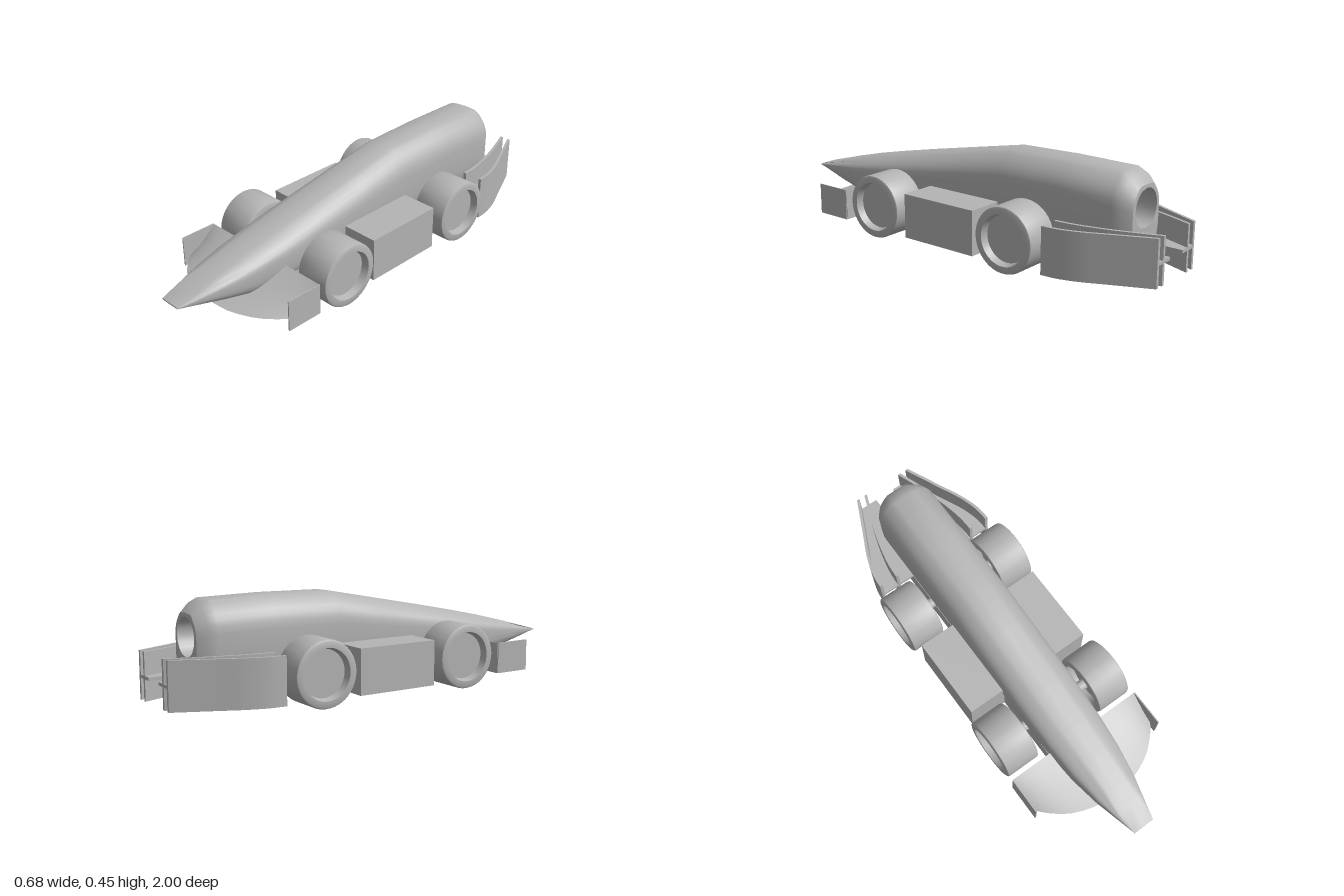
import * as THREE from 'three';
import { toCreasedNormals } from 'three/addons/utils/BufferGeometryUtils.js';

const grey = new THREE.MeshStandardMaterial({ color: 0xb4b4b4, side: THREE.DoubleSide });
grey.name = 'plain grey';

function add(parent, name, geometry, crease = 0.55) {
  const mesh = new THREE.Mesh(toCreasedNormals(geometry, crease), grey);
  mesh.name = name;
  parent.add(mesh);
  return mesh;
}

// Skin over closed rings of equal length, with fan caps at both ends
function loft(rings) {
  const n = rings[0].length, pos = [], idx = [];
  rings.forEach(r => r.forEach(p => pos.push(...p)));
  for (let i = 0; i < rings.length - 1; i++) {
    for (let j = 0; j < n; j++) {
      const k = (j + 1) % n, a = i * n + j, b = i * n + k;
      idx.push(a, a + n, b, b, a + n, b + n);
    }
  }
  const last = (rings.length - 1) * n;
  for (let j = 1; j < n - 1; j++) {
    idx.push(0, j, j + 1, last, last + j + 1, last + j);
  }
  const g = new THREE.BufferGeometry();
  g.setAttribute('position', new THREE.Float32BufferAttribute(pos, 3));
  g.setIndex(idx);
  return g;
}

// Half outline of the body: [share of width, share of height], bottom to top
const outline = [[0.64, 0], [0.86, 0.085], [0.95, 0.19], [1, 0.32], [1, 0.5], [1, 0.63],
  [0.98, 0.72], [0.92, 0.79], [0.83, 0.85], [0.72, 0.9], [0.56, 0.955], [0.4, 0.99]];

function bodyRing([z, top, bottom, w, flat]) {
  const half = outline.map(([u, v]) => {
    const x = v > 0.95 ? Math.max(u * w, flat * (v > 0.98 ? 1 : 1.35)) : u * w;
    return [Math.min(x, w), bottom + v * (top - bottom), z];
  });
  const mirrored = half.map(([x, y, q]) => [-x, y, q]).reverse();
  return [...half, [0, top, z], ...mirrored, [0, bottom, z]];
}

function makeBody() {
  // z, top, bottom, half width, half width of the flat top
  const rings = [
    [1, 0.178, 0.172, 0.05, 0.045], [0.9, 0.206, 0.15, 0.075, 0.046],
    [0.8, 0.234, 0.13, 0.1, 0.048], [0.66, 0.27, 0.1, 0.122, 0.05],
    [0.5, 0.305, 0.092, 0.135, 0.052], [0.3, 0.346, 0.09, 0.14, 0.054],
    [0, 0.405, 0.09, 0.14, 0.055], [-0.21, 0.446, 0.09, 0.14, 0.055],
    [-0.5, 0.452, 0.09, 0.14, 0.055], [-0.78, 0.448, 0.09, 0.14, 0.055],
    [-0.82, 0.43, 0.1, 0.128, 0.05], [-0.857, 0.393, 0.125, 0.1, 0.045],
  ].map(bodyRing);
  // Round exhaust opening sunk into the tail
  const cy = 0.295;
  const rim = rings[rings.length - 1].map(([x, y]) => {
    const a = Math.atan2(y - cy, x);
    return [0.083 * Math.cos(a), cy + 0.083 * Math.sin(a)];
  });
  for (const z of [-0.858, -0.68]) rings.push(rim.map(([x, y]) => [x, y, z]));
  return loft(rings);
}

// Wedge wing with a swept, rounded leading edge
function makeFrontWing() {
  const half = [[0.335, 0.645], [0.31, 0.678], [0.28, 0.708], [0.24, 0.742], [0.2, 0.766],
    [0.15, 0.787], [0.1, 0.802], [0.06, 0.806], [0.03, 0.808]];
  const stations = [...half.map(([x, z]) => [-x, z]), ...half.slice().reverse()];
  return loft(stations.map(([x, zf]) => {
    const t = THREE.MathUtils.smoothstep(Math.abs(x), 0.06, 0.15);
    const low = THREE.MathUtils.lerp(0.085, 0.05, t), d = zf - 0.51;
    return [[x, 0.092, zf], [x, 0.112, 0.51 + d * 0.68], [x, 0.146, 0.51 + d * 0.34],
      [x, 0.187, 0.51], [x, low, 0.51], [x, low + 0.008, 0.51 + d * 0.5]];
  }));
}

// Flat outline in x and z, raised from y0 to y1
function slab(points, y0, y1) {
  const shape = new THREE.Shape(points.map(p => new THREE.Vector2(p[0], p[1])));
  const g = new THREE.ExtrudeGeometry(shape, { depth: y1 - y0, bevelEnabled: false });
  return g.rotateX(Math.PI / 2).translate(0, y1, 0);
}

function curve(points) {
  const c = new THREE.SplineCurve(points.map(p => new THREE.Vector2(...p)));
  return c.getPoints(14).map(p => [p.x, p.y]);
}

function blade(points, thickness) {
  const outer = curve(points);
  return slab([...outer, ...outer.map(([x, z]) => [x - thickness, z]).reverse()], 0.03, 0.235);
}

function makeKeel() {
  const side = [[0.66, 0.102], [0.64, 0.072], [0.58, 0.045], [0.5, 0.03],
    [-0.79, 0.03], [-0.83, 0.13], [0.4, 0.13]];
  const shape = new THREE.Shape(side.map(p => new THREE.Vector2(...p)));
  const g = new THREE.ExtrudeGeometry(shape, { depth: 0.1, bevelEnabled: false });
  return g.rotateY(-Math.PI / 2).translate(0.13, 0, 0);
}

// Tyre and recessed hub as one turned profile
function makeWheel() {
  const profile = [[0, -0.045], [0.1, -0.045], [0.108, -0.0825], [0.134, -0.0825],
    [0.141, -0.079], [0.1435, -0.072], [0.1435, 0.072], [0.141, 0.079],
    [0.134, 0.0825], [0.11, 0.0825], [0.102, 0.05], [0, 0.05]];
  const g = new THREE.LatheGeometry(profile.map(p => new THREE.Vector2(...p)), 48);
  return g.rotateZ(-Math.PI / 2);
}

function makeSide() {
  const side = new THREE.Group();

  add(side, 'keel', makeKeel());
  add(side, 'sidepod', new THREE.BoxGeometry(0.2, 0.2, 0.385).translate(0.21, 0.13, -0.025));
  add(side, 'frontWingEndplate', new THREE.BoxGeometry(0.005, 0.14, 0.17).translate(0.336, 0.12, 0.597));

  // Wheels on short stub axles
  for (const [name, z] of [['front', 0.335], ['rear', -0.395]]) {
    add(side, name + 'Wheel', makeWheel()).position.set(0.2525, 0.1435, z);
    const axle = new THREE.CylinderGeometry(0.024, 0.024, 0.14, 20).rotateZ(Math.PI / 2);
    add(side, name + 'Axle', axle).position.set(0.16, 0.1435, z);
  }

  // Two curved upright blades joined by a flat plate
  const outer = [[0.303, -0.565], [0.296, -0.64], [0.268, -0.73], [0.222, -0.83], [0.145, -1]];
  const inner = [[0.215, -0.565], [0.21, -0.64], [0.19, -0.74], [0.158, -0.85], [0.103, -1]];
  add(side, 'outerRearBlade', blade(outer, 0.014));
  add(side, 'innerRearBlade', blade(inner, 0.014));
  add(side, 'rearPlate', slab([...curve(outer).map(([x, z]) => [x - 0.005, z]),
    [0.05, -1], [0.05, -0.565]], 0.122, 0.136));
  return side;
}

export function createModel() {
  const car = new THREE.Group();
  car.name = 'racingCar';
  add(car, 'body', makeBody());
  add(car, 'frontWing', makeFrontWing());
  for (const s of [1, -1]) {
    const side = makeSide();
    side.name = s > 0 ? 'leftSide' : 'rightSide';
    side.scale.x = s;
    car.add(side);
  }
  return car;
}
